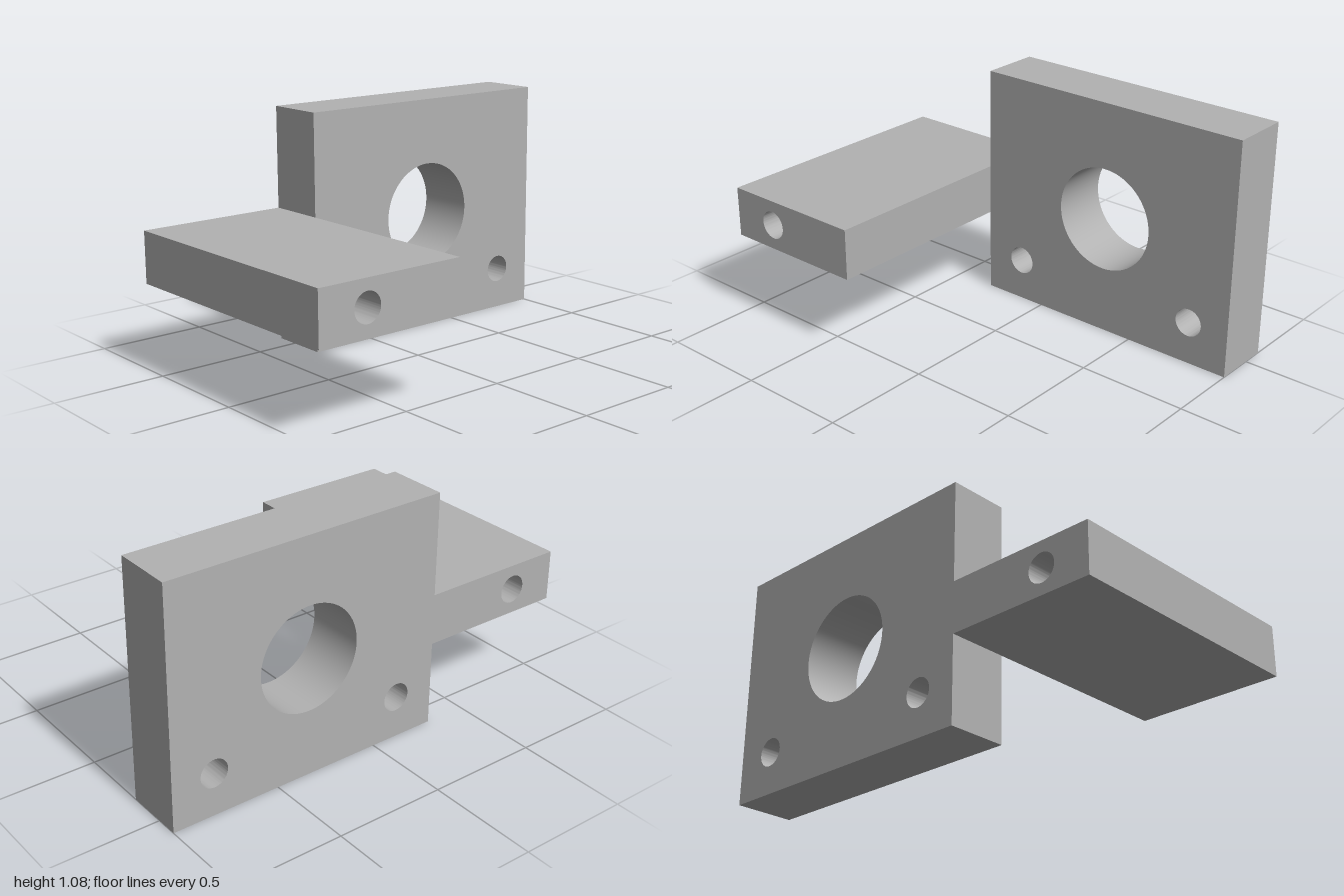
import * as THREE from 'three';
import { toCreasedNormals } from 'three/addons/utils/BufferGeometryUtils.js';

// Rectangular block extruded along z from z0 to z1, with round through-holes [x, y, radius]
function drilledBlock(name, [x0, x1], [y0, y1], [z0, z1], holes, material) {
  const shape = new THREE.Shape();
  shape.moveTo(x0, y0);
  shape.lineTo(x1, y0);
  shape.lineTo(x1, y1);
  shape.lineTo(x0, y1);
  shape.closePath();
  for (const [x, y, r] of holes) {
    shape.holes.push(new THREE.Path().absarc(x, y, r, 0, Math.PI * 2, true));
  }
  const geometry = new THREE.ExtrudeGeometry(shape, {
    depth: z1 - z0, bevelEnabled: false, curveSegments: 48,
  });
  geometry.translate(0, 0, z0);
  const mesh = new THREE.Mesh(toCreasedNormals(geometry, Math.PI / 6), material);
  mesh.name = name;
  return mesh;
}

export function createModel() {
  const group = new THREE.Group();
  group.name = 'mountingBracket';
  const grey = new THREE.MeshStandardMaterial({ color: 0xb2b2b2 });
  grey.name = 'machined grey';

  const boltRadius = 0.064;

  // Upright plate with a large bore and two bolt holes
  group.add(drilledBlock('bearingPlate', [-0.31, 1], [0, 1.077], [-0.6, -0.326], [
    [0.343, 0.54, 0.237],
    [-0.118, 0.194, boltRadius],
    [0.805, 0.194, boltRadius],
  ], grey));

  // Horizontal arm reaching forward, drilled along its whole length
  group.add(drilledBlock('sideArm', [-1, -0.31], [0.385, 0.616], [-0.6, 0.6], [
    [-0.771, 0.501, boltRadius],
  ], grey));

  return group;
}
